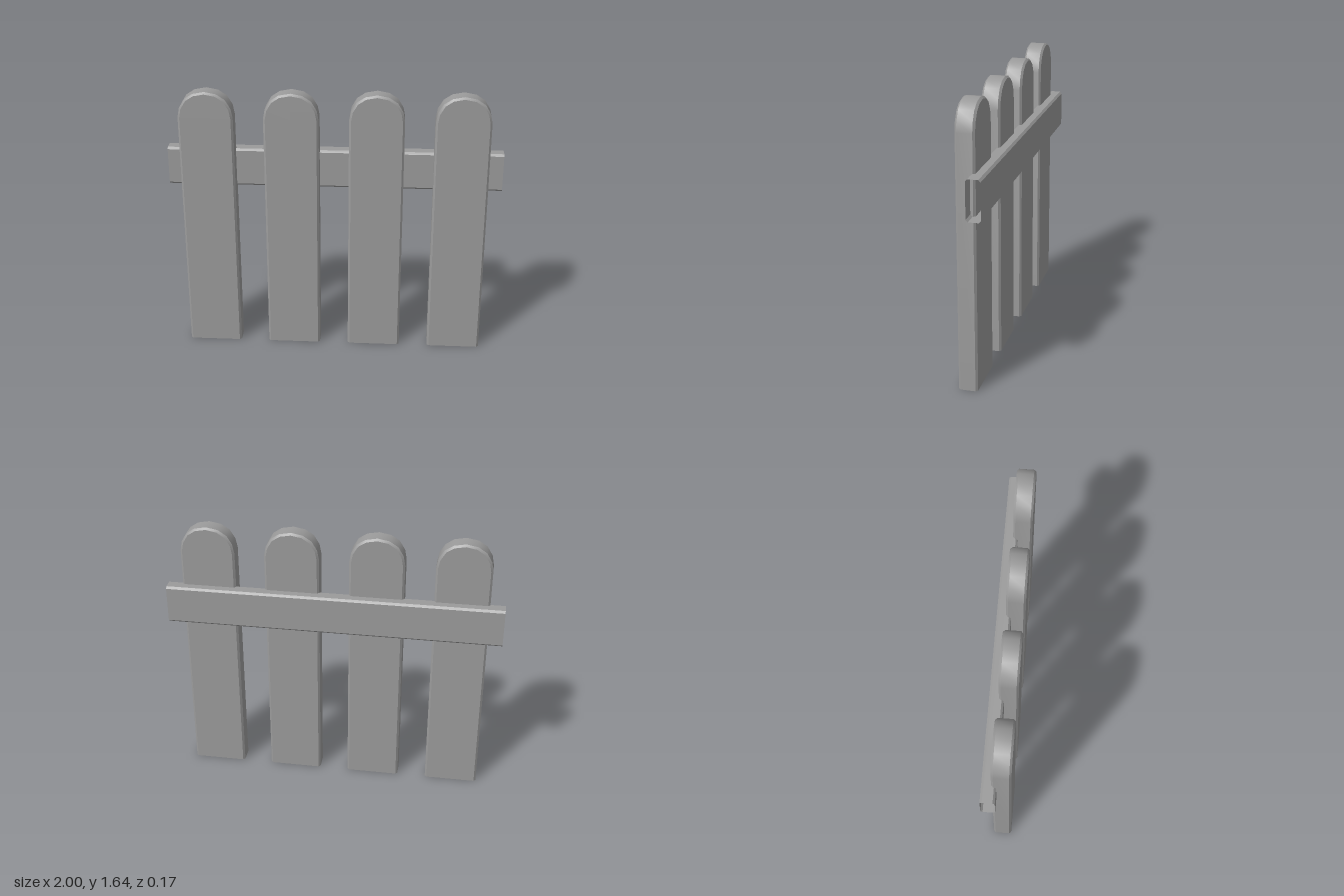
import * as THREE from 'three';
import { toCreasedNormals } from 'three/addons/utils/BufferGeometryUtils.js';

const BEVEL = 0.012;

// Skin a series of equally long loops of [x, y, z] points; ends stay open.
function loft(loops) {
  const positions = [];
  for (let k = 0; k < loops.length - 1; k++) {
    for (let i = 0; i < loops[k].length - 1; i++) {
      const a = loops[k][i], b = loops[k][i + 1];
      const c = loops[k + 1][i], d = loops[k + 1][i + 1];
      positions.push(...a, ...c, ...b, ...b, ...c, ...d);
    }
  }
  const geometry = new THREE.BufferGeometry();
  geometry.setAttribute('position', new THREE.Float32BufferAttribute(positions, 3));
  geometry.computeVertexNormals();
  return toCreasedNormals(geometry, Math.PI / 6);
}

// Round-topped board with chamfered edges, hollow and open at the foot.
function picketGeometry() {
  const halfWidth = 0.162, shoulder = 1.487, back = -0.028, front = 0.083;
  // Left half of the slightly squared crown, from the shoulder up to the tip
  const crown = [[-halfWidth, 0], [-0.151, 0.058], [-0.119, 0.112], [-0.069, 0.145], [0, 0.158]];
  const arch = [...crown, ...crown.slice(0, -1).reverse().map(([x, y]) => [-x, y])];
  const outline = (inset, z) => {
    const scale = 1 - inset / halfWidth;
    const edge = halfWidth - inset;
    return [
      [-edge, 0, z],
      ...arch.map(([x, y]) => [x * scale, shoulder + y * scale, z]),
      [edge, 0, z],
    ];
  };
  // Flat faces are closed by bringing the outline onto the centre line.
  const centreLine = (z) => outline(BEVEL, z).map(([, y]) => [0, y, z]);
  return loft([
    centreLine(back),
    outline(BEVEL, back),
    outline(0, back + BEVEL),
    outline(0, front - BEVEL),
    outline(BEVEL, front),
    centreLine(front),
  ]);
}

// Chamfered rectangular tube along x, open at both ends.
function railGeometry() {
  const top = 1.27, bottom = 1.035, front = 0, back = -0.083, b = BEVEL;
  const section = [
    [top, front - b], [top, back + b], [top - b, back], [bottom + b, back],
    [bottom, back + b], [bottom, front - b], [bottom + b, front], [top - b, front],
    [top, front - b],
  ];
  return loft([-1, 1].map((x) => section.map(([y, z]) => [x, y, z])));
}

export function createModel() {
  const model = new THREE.Group();
  model.name = 'picketFence';
  const material = new THREE.MeshStandardMaterial({ color: 0x9b9b9b, side: THREE.DoubleSide });

  // Four evenly spaced pickets
  const picket = picketGeometry();
  for (let i = 0; i < 4; i++) {
    const mesh = new THREE.Mesh(picket, material);
    mesh.name = `picket${i + 1}`;
    mesh.position.x = -0.75 + i * 0.5;
    model.add(mesh);
  }

  // Cross rail behind the pickets
  const rail = new THREE.Mesh(railGeometry(), material);
  rail.name = 'rail';
  model.add(rail);

  return model;
}
